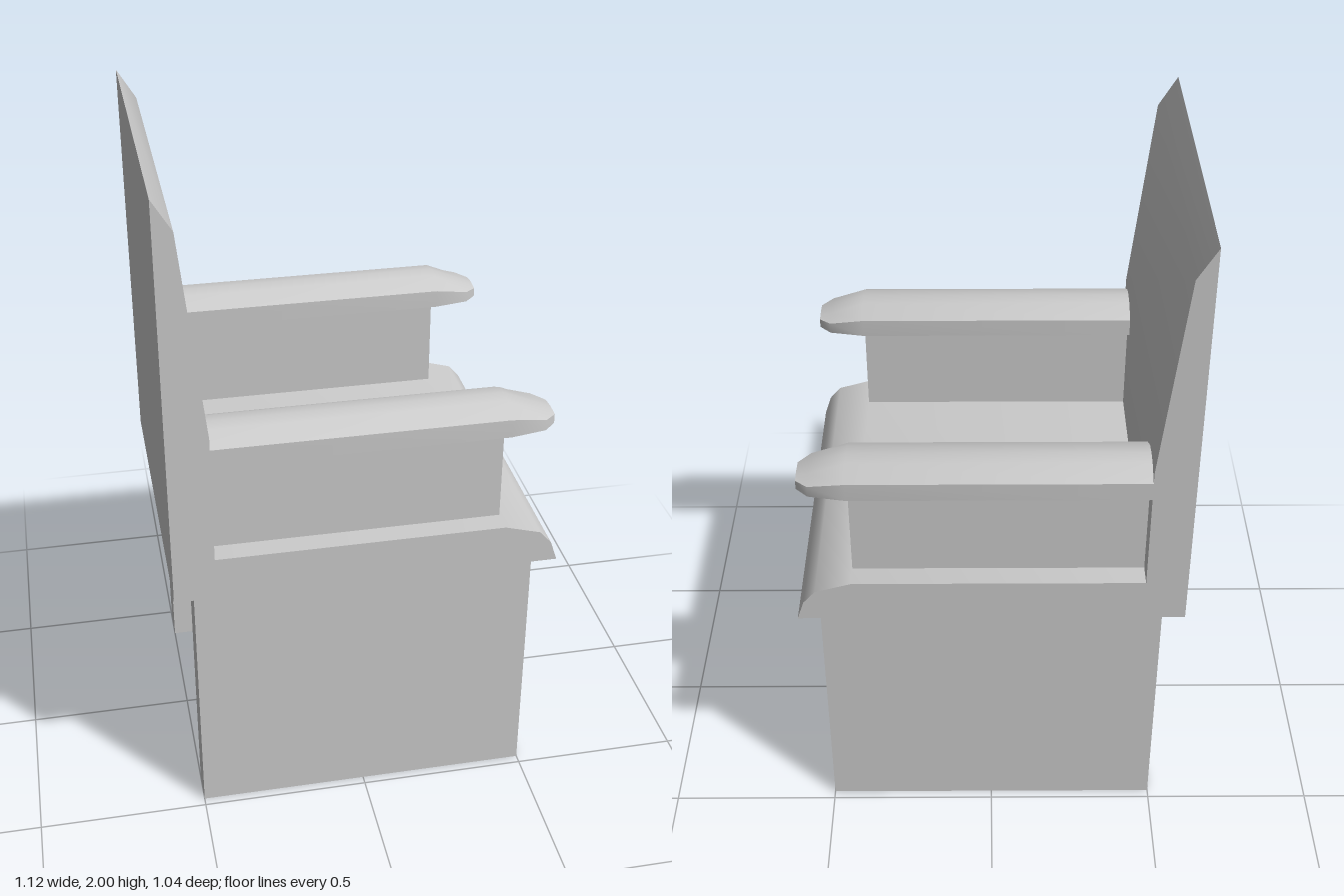
import * as THREE from 'three';
import { toCreasedNormals } from 'three/addons/utils/BufferGeometryUtils.js';

const material = new THREE.MeshStandardMaterial({ color: 0xcccccc });
const CREASE = 0.65;

function addMesh(parent, name, geometry, x = 0, y = 0, z = 0) {
  const mesh = new THREE.Mesh(geometry, material);
  mesh.name = name;
  mesh.position.set(x, y, z);
  parent.add(mesh);
  return mesh;
}

// Seat and backrest share one side profile, extruded across the width
function seatAndBackGeometry() {
  const profile = [
    [-0.56, 0.79], [0.56, 0.79], [0.54, 0.85], [0.505, 0.89], [0.4, 0.92],
    [-0.44, 0.92], [-0.44, 1.31], [-0.505, 1.91], [-0.56, 2],
  ].map(([x, y]) => new THREE.Vector2(x, y));
  const geometry = new THREE.ExtrudeGeometry(new THREE.Shape(profile), { depth: 1.04, bevelEnabled: false });
  geometry.translate(0, 0, -0.52);
  return toCreasedNormals(geometry, CREASE);
}

// Armrest: domed cross-sections lofted along x, tapering to a blunt nose
function armrestGeometry() {
  const bottom = 1.22;
  // x, half width, edge height, shoulder height, crown height
  const stations = [
    [-0.44, 0.098, 1.275, 1.305, 1.31],
    [0.4, 0.098, 1.275, 1.305, 1.31],
    [0.505, 0.078, 1.253, 1.264, 1.266],
    [0.54, 0.043, 1.248, 1.251, 1.252],
  ];
  const positions = [];
  for (const [x, w, edge, shoulder, crown] of stations) {
    const section = [
      [crown, 0], [shoulder, w * 0.42], [edge, w], [bottom, w],
      [bottom, -w], [edge, -w], [shoulder, -w * 0.42],
    ];
    for (const [y, z] of section) positions.push(x, y, z);
  }
  const n = 7;
  const last = (stations.length - 1) * n;
  const indices = [];
  for (let i = 0; i < stations.length - 1; i++) {
    for (let j = 0; j < n; j++) {
      const a = i * n + j;
      const b = i * n + ((j + 1) % n);
      indices.push(a, b, b + n, a, b + n, a + n);
    }
  }
  // End caps
  for (let j = 1; j < n - 1; j++) {
    indices.push(last, last + j, last + j + 1, 0, j + 1, j);
  }
  const geometry = new THREE.BufferGeometry();
  geometry.setAttribute('position', new THREE.Float32BufferAttribute(positions, 3));
  geometry.setIndex(indices);
  return toCreasedNormals(geometry, CREASE);
}

export function createModel() {
  const chair = new THREE.Group();
  chair.name = 'armchair';

  addMesh(chair, 'seatAndBackrest', seatAndBackGeometry());

  // The seat faces +x, so the two sides mirror across z
  const legGeometry = new THREE.BoxGeometry(1, 0.79, 0.1);
  const panelGeometry = new THREE.BoxGeometry(0.84, 0.3, 0.06);
  const armGeometry = armrestGeometry();
  for (const side of [-1, 1]) {
    const label = side < 0 ? 'back' : 'front';
    addMesh(chair, `${label}LegPanel`, legGeometry, 0, 0.395, side * 0.423);
    addMesh(chair, `${label}ArmPanel`, panelGeometry, -0.02, 1.07, side * 0.422);
    addMesh(chair, `${label}Armrest`, armGeometry, 0, 0, side * 0.422);
  }
  return chair;
}
